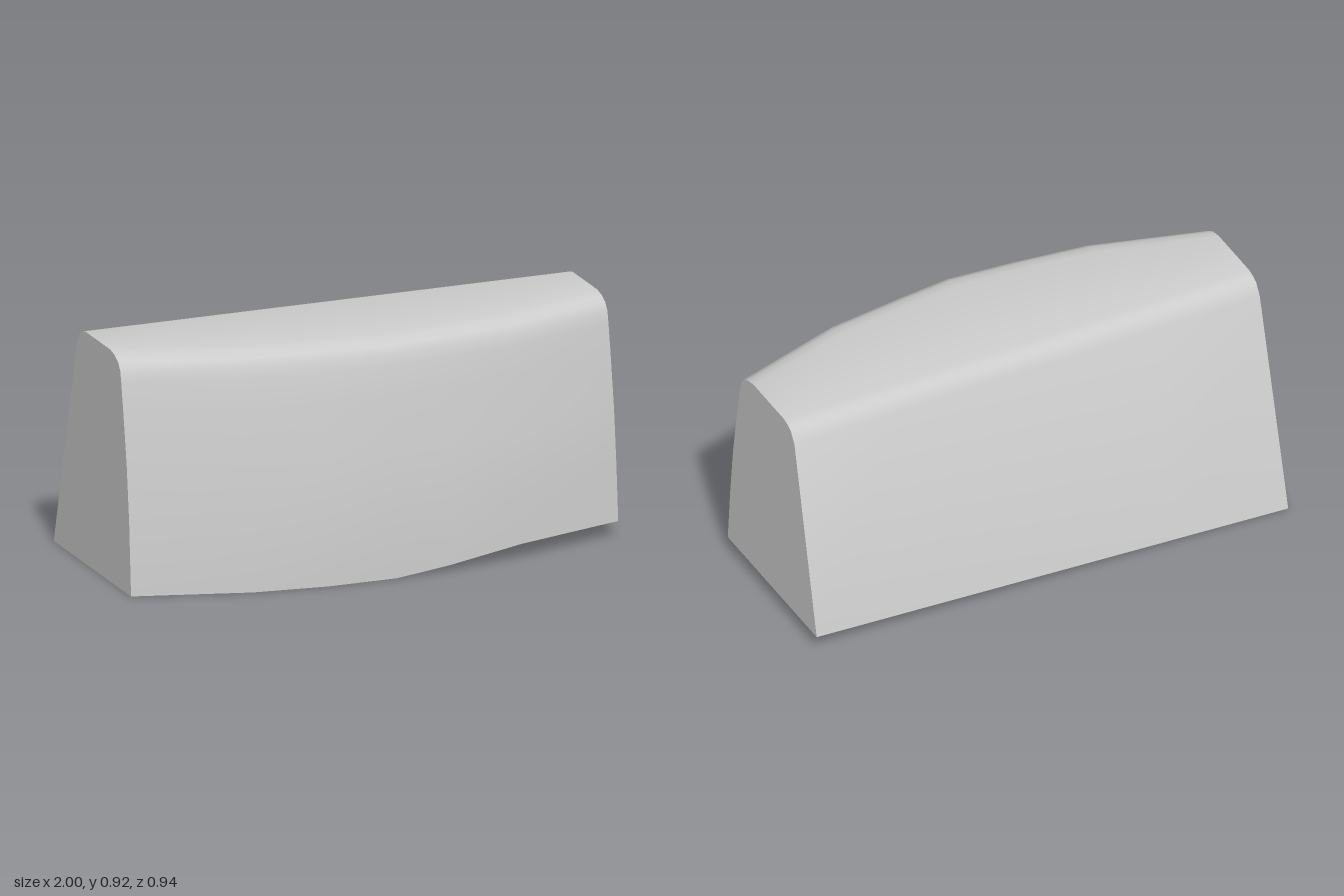
import * as THREE from 'three';
import { toCreasedNormals } from 'three/addons/utils/BufferGeometryUtils.js';

const { lerp, clamp } = THREE.MathUtils;

// Stations along the length: [x, bulge at the foot, bulge at the top]
const stations = [
  [-1, 0, 0], [-0.55, 0.76, 0.68], [-0.26, 0.98, 0.87], [0.02, 1, 1],
  [0.24, 0.99, 0.88], [0.55, 0.76, 0.68], [1, 0, 0],
];

// Front profile: [y, z at the ends, z at the middle]
const front = [
  [0, 0.297, 0.468], [0.28, 0.279, 0.468], [0.5, 0.255, 0.44], [0.7, 0.222, 0.415],
  [0.82, 0.2, 0.395], [0.865, 0.19, 0.382], [0.893, 0.17, 0.367], [0.912, 0.135, 0.33],
  [0.922, 0.09, 0.28],
];

// Straight rounded shoulder along the back: [y, z]
const shoulder = [[0.922, -0.155], [0.913, -0.19], [0.9, -0.213], [0.855, -0.241]];

// One closed cross-section: up the front, over the top, down the back
function section([x, foot, top]) {
  const frontFoot = 0.062 * clamp((x - 0.02) / 0.53, 0, 1);
  const middleFoot = 0.062 * Math.max(0, (x - 0.02) / 0.98);
  const points = front.map(([y, end, middle]) => {
    const bulge = lerp(foot, top, y / 0.922);
    return [x, Math.max(y, frontFoot), lerp(end, middle, bulge)];
  });
  shoulder.forEach(([y, z]) => points.push([x, y, z]));
  // Back foot runs straight; the underside has a low point near the middle
  points.push([x, 0.031 * (x + 1), -0.47 + 0.025 * (x + 1)]);
  const middleZ = x < 0.02
    ? lerp(-0.468, -0.22, (x + 1) / 1.02)
    : lerp(-0.22, -0.418, (x - 0.02) / 0.98);
  points.push([x, middleFoot, middleZ]);
  return points;
}

function blockGeometry() {
  const rings = stations.map(section);
  const n = rings[0].length;
  const positions = [];
  const triangle = (a, b, c) => positions.push(...a, ...b, ...c);

  // Skin between neighbouring sections
  for (let i = 0; i < rings.length - 1; i++) {
    for (let j = 0; j < n; j++) {
      const k = (j + 1) % n;
      triangle(rings[i][j], rings[i + 1][j], rings[i + 1][k]);
      triangle(rings[i][j], rings[i + 1][k], rings[i][k]);
    }
  }

  // Flat ends
  const first = rings[0];
  const last = rings[rings.length - 1];
  const leftHub = [1, 0.45, -0.05];
  const rightHub = [-1, 0.45, -0.05];
  for (let j = 0; j < n; j++) {
    const k = (j + 1) % n;
    triangle(rightHub, first[j], first[k]);
    triangle(leftHub, last[k], last[j]);
  }

  const geometry = new THREE.BufferGeometry();
  geometry.setAttribute('position', new THREE.Float32BufferAttribute(positions, 3));
  return toCreasedNormals(geometry, 0.65);
}

export function createModel() {
  const stone = new THREE.MeshStandardMaterial({ color: 0xcccccc });
  stone.name = 'light grey';

  const block = new THREE.Mesh(blockGeometry(), stone);
  block.name = 'curvedBlock';

  const model = new THREE.Group();
  model.name = 'curvedWallBlock';
  model.add(block);
  return model;
}
